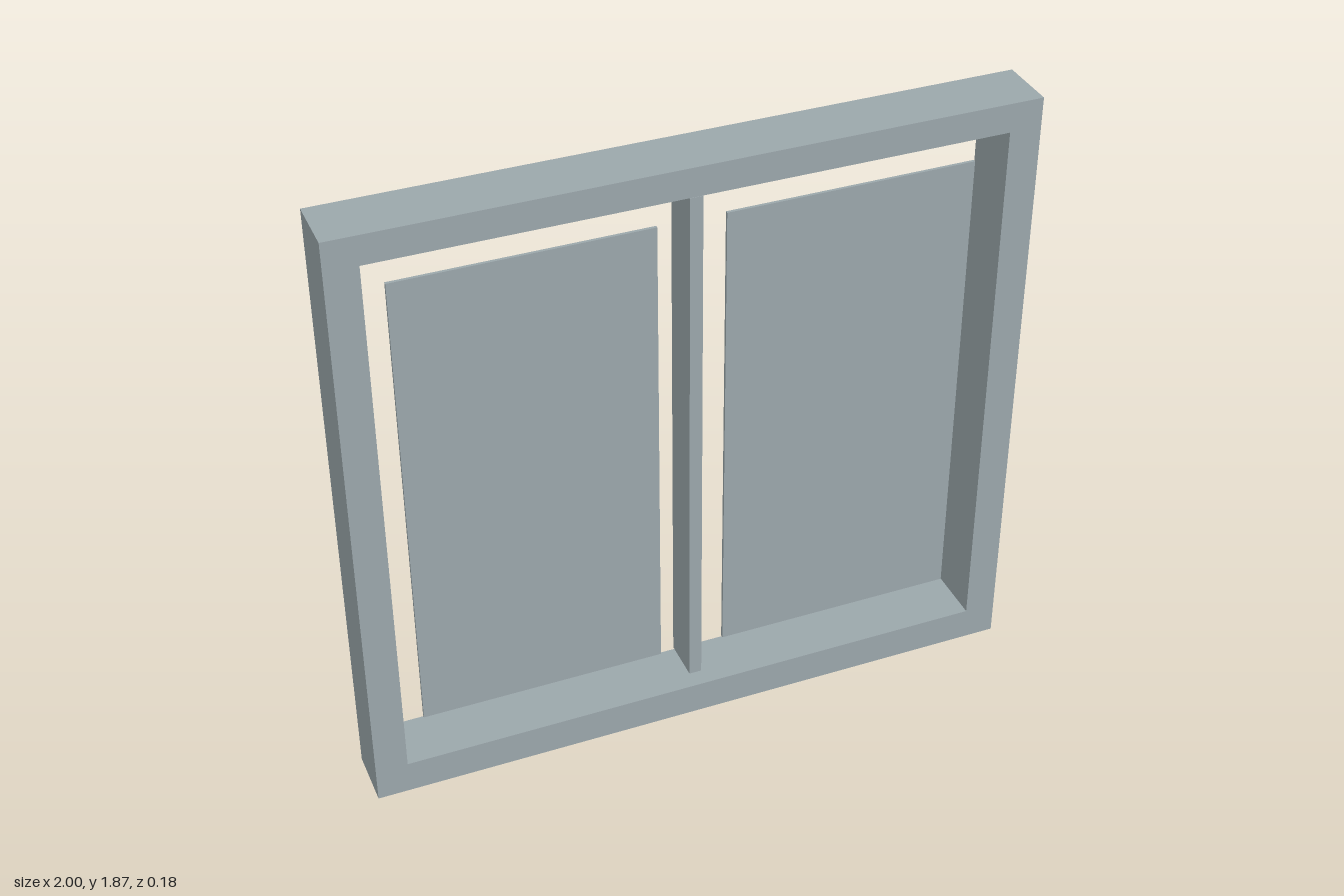
import * as THREE from 'three';

export function createModel() {
  const group = new THREE.Group();
  const greyBlue = new THREE.MeshStandardMaterial({ color: 0x9ba7ab });
  greyBlue.name = 'greyBlue';

  const add = (name, geometry, x = 0, y = 0, z = 0) => {
    const mesh = new THREE.Mesh(geometry, greyBlue);
    mesh.name = name;
    mesh.position.set(x, y, z);
    group.add(mesh);
  };

  // Rectangle from opposite corners
  const rect = (path, x0, y0, x1, y1) =>
    path.moveTo(x0, y0).lineTo(x1, y0).lineTo(x1, y1).lineTo(x0, y1).closePath();

  // Outer frame with a rectangular opening
  const depth = 0.178;
  const outline = rect(new THREE.Shape(), -1, 0, 1, 1.87);
  outline.holes.push(rect(new THREE.Path(), -0.905, 0.102, 0.905, 1.783));
  const frame = new THREE.ExtrudeGeometry(outline, { depth, bevelEnabled: false });
  add('frame', frame, 0, 0, -depth / 2);

  // Central upright, standing just clear of the frame
  add('mullion', new THREE.BoxGeometry(0.038, 1.634, 0.13), 0, 0.952, 0.003);

  // Two thin panes, set slightly forward
  const pane = new THREE.BoxGeometry(0.734, 1.468, 0.009);
  for (const [name, side] of [['leftPane', 1], ['rightPane', -1]]) {
    add(name, pane, side * 0.466, 0.951, 0.035);
  }

  return group;
}
